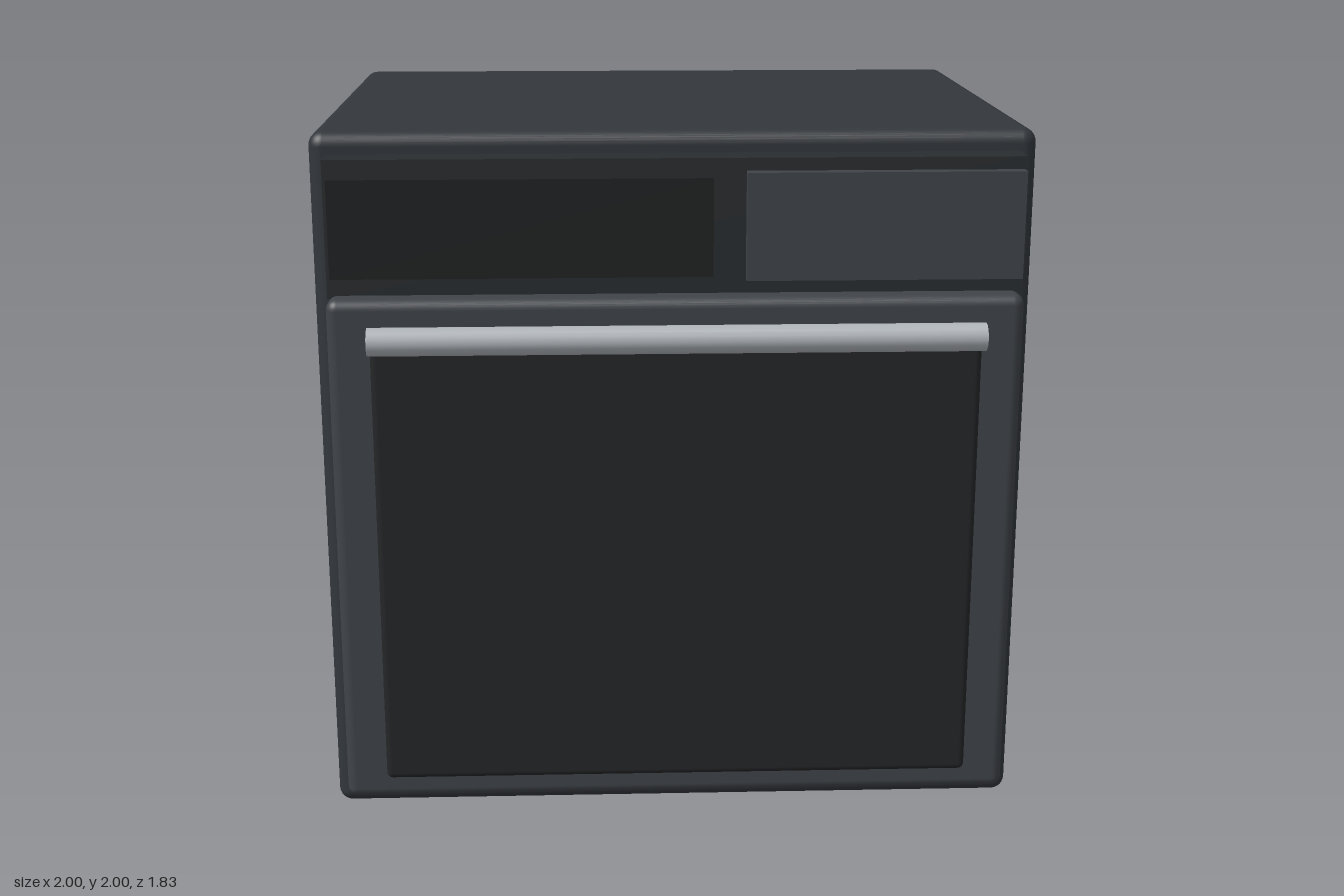
import * as THREE from 'three';
import { RoundedBoxGeometry } from 'three/addons/geometries/RoundedBoxGeometry.js';

// Box given by its min and max on each axis; radius 0 keeps sharp edges
function block(name, [x0, x1], [y0, y1], [z0, z1], radius, color) {
  const size = [x1 - x0, y1 - y0, z1 - z0];
  const geometry = radius > 0
    ? new RoundedBoxGeometry(...size, 4, radius)
    : new THREE.BoxGeometry(...size);
  const mesh = new THREE.Mesh(geometry, new THREE.MeshStandardMaterial({ color }));
  mesh.name = name;
  mesh.position.set((x0 + x1) / 2, (y0 + y1) / 2, (z0 + z1) / 2);
  return mesh;
}

export function createModel() {
  const oven = new THREE.Group();
  oven.name = 'oven';

  // Cabinet
  oven.add(block('body', [-1, 1], [0, 2], [-0.915, 0.65], 0.04, 0x33373c));

  // Control strip with a dark display and a raised plate
  oven.add(block('controlPanel', [-0.95, 0.95], [1.56, 1.94], [0.6, 0.752], 0, 0x292d2f));
  oven.add(block('display', [-0.938, 0.1], [1.62, 1.89], [0.74, 0.78], 0, 0x202122));
  oven.add(block('controlPlate', [0.19, 0.945], [1.61, 1.905], [0.74, 0.79], 0, 0x404449));

  // Door and its window
  oven.add(block('door', [-0.95, 0.95], [0.1, 1.57], [0.59, 0.82], 0.03, 0x404449));
  oven.add(block('doorWindow', [-0.833, 0.833], [0.17, 1.445], [0.78, 0.842], 0.018, 0x252628));

  // Bar handle
  const handle = new THREE.Mesh(
    new THREE.CylinderGeometry(0.039, 0.039, 1.666, 16),
    new THREE.MeshStandardMaterial({ color: 0xb0b5ba })
  );
  handle.name = 'handle';
  handle.rotation.z = Math.PI / 2;
  handle.position.set(0, 1.47, 0.877);
  oven.add(handle);

  return oven;
}
